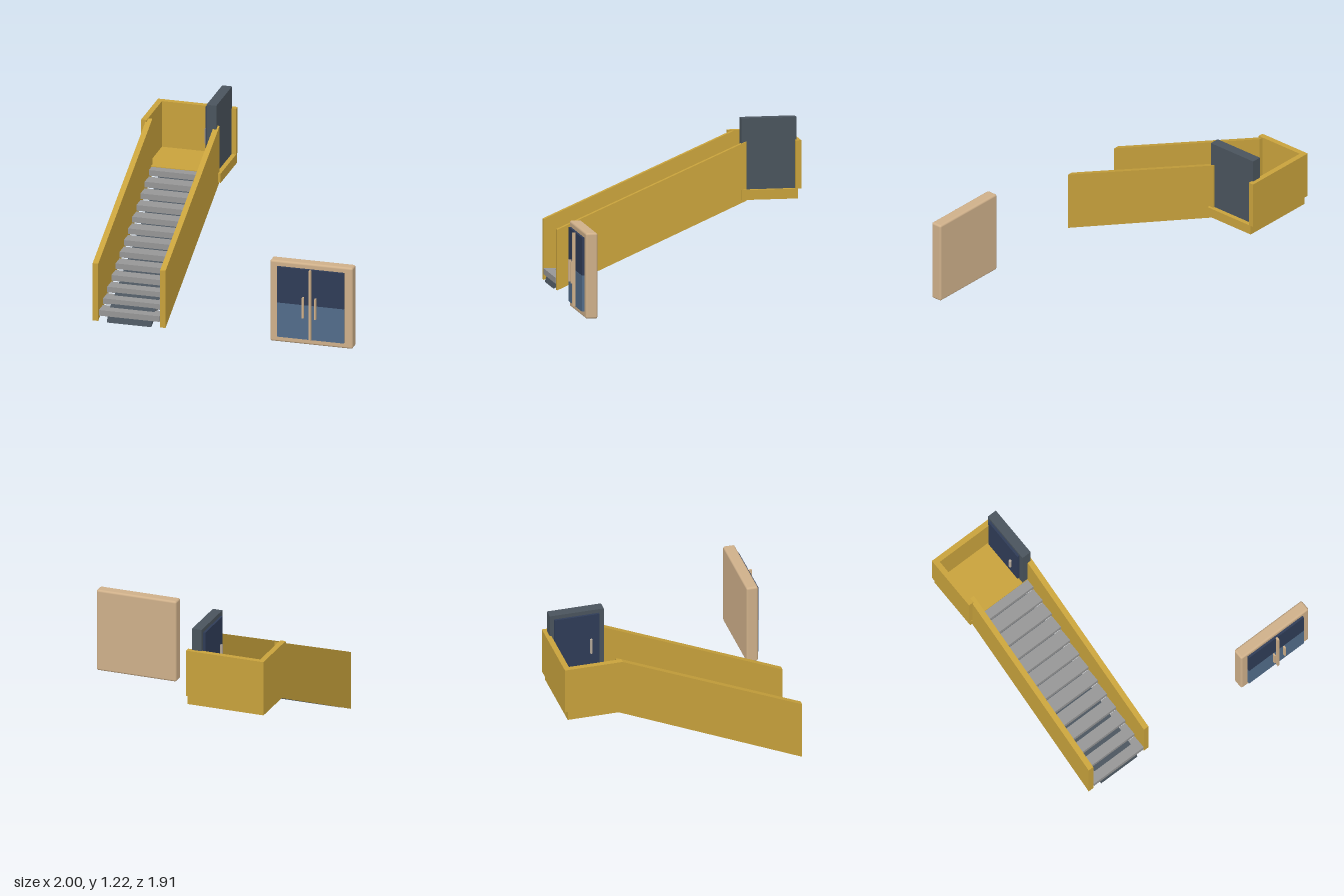
import * as THREE from 'three';
import { RoundedBoxGeometry } from 'three/addons/geometries/RoundedBoxGeometry.js';

const mat = (name, color) => Object.assign(new THREE.MeshStandardMaterial({ color }), { name });

export function createModel() {
  const model = new THREE.Group();
  model.name = 'staircaseAndDoor';
  const ochre = mat('ochre', 0xc8a23c);
  const tread = mat('treadGrey', 0x969696);
  const slate = mat('slate', 0x4a545d);
  const navy = mat('navyGlass', 0x2f3c57);
  const blue = mat('blueGlass', 0x526c8a);
  const tan = mat('tan', 0xcfb08a);
  const metal = mat('paleMetal', 0xb5a898);

  const add = (parent, name, geometry, material) => {
    const mesh = new THREE.Mesh(geometry, material);
    mesh.name = name;
    parent.add(mesh);
    return mesh;
  };
  // Box given by its extents on each axis; a radius rounds its edges
  const box = (parent, name, material, [x0, x1], [y0, y1], [z0, z1], radius = 0) => {
    const size = [x1 - x0, y1 - y0, z1 - z0];
    const geometry = radius ? new RoundedBoxGeometry(...size, 3, radius) : new THREE.BoxGeometry(...size);
    const mesh = add(parent, name, geometry, material);
    mesh.position.set((x0 + x1) / 2, (y0 + y1) / 2, (z0 + z1) / 2);
    return mesh;
  };
  // Side profile of [z, y] points, extruded from x0 to x1
  const sideSlab = (parent, name, material, points, x0, x1) => {
    const shape = new THREE.Shape(points.map(([z, y]) => new THREE.Vector2(-z, y)));
    const geometry = new THREE.ExtrudeGeometry(shape, { depth: x1 - x0, bevelEnabled: false });
    geometry.rotateY(Math.PI / 2);
    geometry.translate(x0, 0, 0);
    return add(parent, name, geometry, material);
  };
  const group = (name) => {
    const g = new THREE.Group();
    g.name = name;
    model.add(g);
    return g;
  };

  // Staircase: sloping side walls, underside ramp and treads
  const stairs = group('stairs');
  const wall = [[0.832, 0.003], [0.832, 0.445], [-0.56, 1.048], [-0.56, 0.617]];
  sideSlab(stairs, 'outerSideWall', ochre, wall, -0.969, -0.927);
  sideSlab(stairs, 'innerSideWall', ochre, wall, -0.463, -0.422);
  const ramp = [[0.838, 0], [0.815, 0.065], [-0.56, 0.674], [-0.56, 0.611]];
  sideSlab(stairs, 'underRamp', slate, ramp, -0.86, -0.527);
  const steps = 13, going = 0.1072, rise = 0.0503;
  for (let i = 0; i < steps; i++) {
    const front = 0.835 - i * going, top = 0.089 + i * rise;
    box(stairs, 'tread', tread, [-0.922, -0.467], [top - 0.043, top], [front - going, front]);
  }

  // Landing with its parapet
  const landing = group('landing');
  box(landing, 'landingFloor', ochre, [-0.992, -0.402], [0.625, 0.697], [-0.934, -0.52]);
  box(landing, 'backParapet', ochre, [-1, -0.402], [0.697, 1.049], [-0.957, -0.916]);
  box(landing, 'sideParapet', ochre, [-1, -0.959], [0.697, 1.049], [-0.916, -0.523]);

  // Upper doorway facing the landing
  const upperDoor = group('upperDoor');
  box(upperDoor, 'upperDoorFrame', slate, [-0.51, -0.436], [0.697, 1.215], [-0.928, -0.523]);
  box(upperDoor, 'upperDoorLeaf', navy, [-0.527, -0.51], [0.725, 1.185], [-0.897, -0.56]);
  const knob = add(upperDoor, 'upperDoorHandle', new THREE.CylinderGeometry(0.01, 0.01, 0.115, 12), metal);
  knob.position.set(-0.543, 0.933, -0.626);

  // Free-standing double glass door
  const entrance = group('entranceDoor');
  box(entrance, 'entranceFrame', tan, [0.38, 1], [0.015, 0.64], [0.809, 0.896], 0.015);
  box(entrance, 'lowerGlass', blue, [0.437, 0.94], [0.06, 0.324], [0.89, 0.913]);
  box(entrance, 'upperGlass', navy, [0.437, 0.94], [0.324, 0.6], [0.89, 0.913]);
  box(entrance, 'centreMullion', tan, [0.682, 0.697], [0.06, 0.6], [0.91, 0.936]);
  for (const x of [0.643, 0.736]) {
    box(entrance, 'entranceHandle', tan, [x - 0.006, x + 0.006], [0.238, 0.395], [0.935, 0.957]);
  }
  return model;
}
